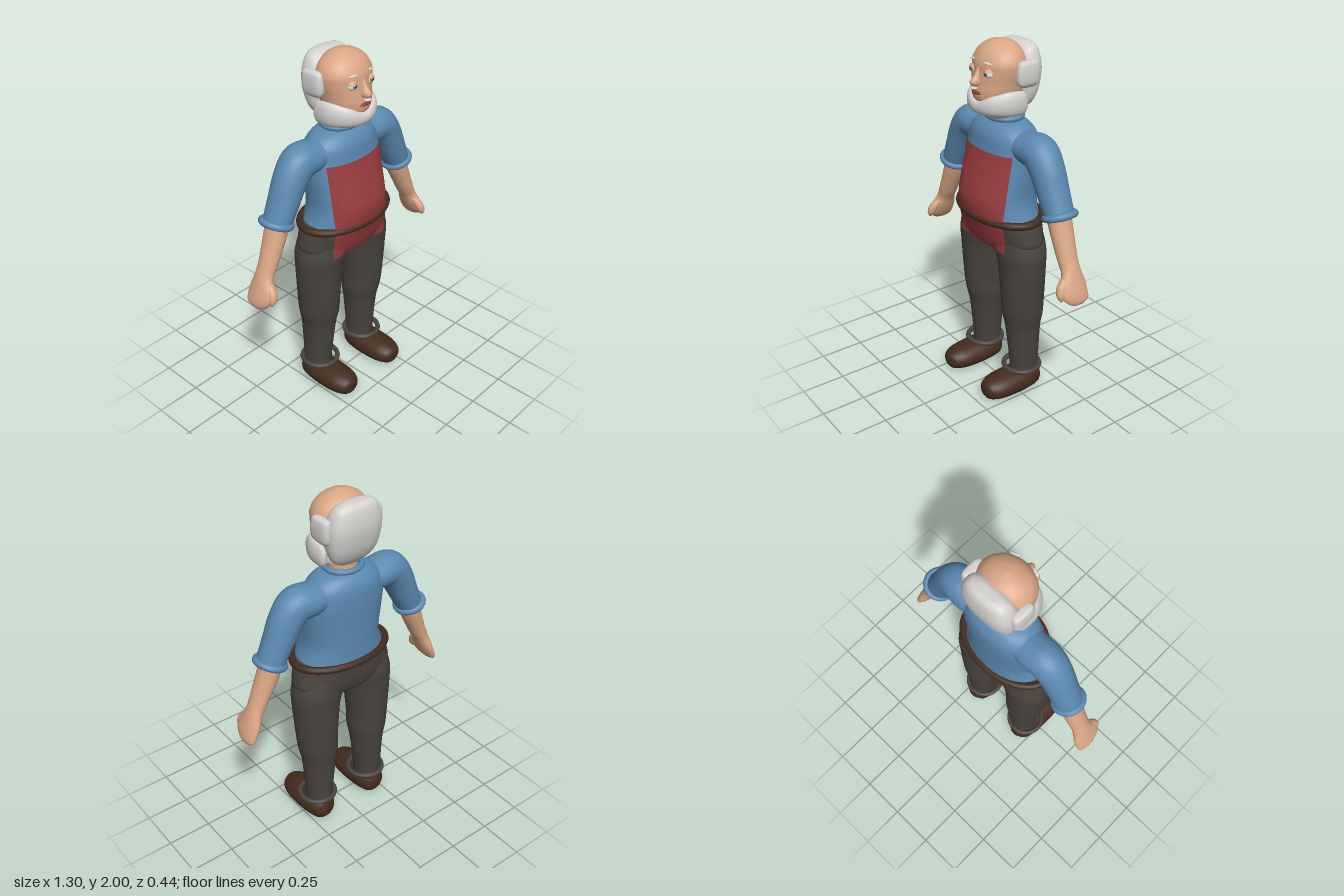
import * as THREE from 'three';

const mat = (name, color) => Object.assign(new THREE.MeshStandardMaterial({ color }), { name });

// Tube along a path in the xy plane; rows are [x, y, z, half width, half depth], smoothed between rows
function sweep(rows, { upright = false, power = 2, sides = 32, steps = 5 } = {}) {
  const rings = [];
  const at = i => rows[Math.min(rows.length - 1, Math.max(0, i))];
  for (let i = 0; i < rows.length - 1; i++) {
    for (let k = 0; k < steps + (i === rows.length - 2 ? 1 : 0); k++) {
      const t = k / steps;
      rings.push(rows[0].map((_, c) => {
        const [p, q, r, s] = [at(i - 1)[c], at(i)[c], at(i + 1)[c], at(i + 2)[c]];
        return q + 0.5 * t * (r - p + t * (2 * p - 5 * q + 4 * r - s + t * (3 * (q - r) + s - p)));
      }));
    }
  }
  const pos = [], index = [], last = rings.length - 1;
  const rise = Math.sign(rows[rows.length - 1][1] - rows[0][1]);
  const bend = v => Math.sign(v) * Math.abs(v) ** (2 / power);
  rings.forEach(([x, y, z, a, b], i) => {
    const p = rings[Math.max(0, i - 1)], q = rings[Math.min(last, i + 1)];
    const t = upright ? new THREE.Vector2(0, rise) : new THREE.Vector2(q[0] - p[0], q[1] - p[1]).normalize();
    for (let j = 0; j < sides; j++) {
      const ang = j / sides * Math.PI * 2, u = bend(Math.cos(ang)) * a;
      pos.push(x + t.y * u, y - t.x * u, z + bend(Math.sin(ang)) * b);
      if (i < last) {
        const n = i * sides, k = (j + 1) % sides;
        index.push(n + j, n + sides + j, n + k, n + sides + j, n + sides + k, n + k);
      }
    }
  });
  // End caps
  const c0 = pos.length / 3, n = last * sides;
  pos.push(...rings[0].slice(0, 3), ...rings[last].slice(0, 3));
  for (let j = 0; j < sides; j++) {
    const k = (j + 1) % sides;
    index.push(c0, j, k, c0 + 1, n + k, n + j);
  }
  const g = new THREE.BufferGeometry();
  g.setAttribute('position', new THREE.Float32BufferAttribute(pos, 3));
  g.setIndex(index);
  g.computeVertexNormals();
  return g;
}

// Stack of horizontal rings; rows are [y, half width, front z, back z, x]
const loft = (rows, opt) => sweep(
  rows.map(([y, w, f, b, x = 0]) => [x, y, (f + b) / 2, w, (f - b) / 2]), { upright: true, ...opt });

// Elliptical rolled band lying level
function band(rx, rz, tube) {
  const pts = Array.from({ length: 24 }, (_, i) => {
    const a = i / 24 * Math.PI * 2;
    return new THREE.Vector3(Math.cos(a) * rx, 0, Math.sin(a) * rz);
  });
  return new THREE.TubeGeometry(new THREE.CatmullRomCurve3(pts, true), 64, tube, 12, true);
}

const ball = (rx, ry, rz) => new THREE.SphereGeometry(1, 24, 16).scale(rx, ry, rz);

export function createModel() {
  const model = new THREE.Group();
  model.name = 'standingMan';
  const skin = mat('skin', 0xd9a684), hair = mat('greyHair', 0xd3d2cf), shirt = mat('blueShirt', 0x5a89b0);
  const red = mat('redApron', 0x983c3e), cloth = mat('darkTrousers', 0x48443e), leather = mat('brownLeather', 0x422c1d);
  const white = mat('eyeWhite', 0xe8e8e4), iris = mat('blueIris', 0x587a94), lip = mat('lips', 0x8c3a34);
  const add = (name, geo, material, x = 0, y = 0, z = 0) => {
    const m = new THREE.Mesh(geo, material);
    m.name = name;
    m.position.set(x, y, z);
    model.add(m);
    return m;
  };

  // Trunk
  const front = [];
  front.push(add('shirtBody', loft([
    [1.59, 0.09, 0.02, -0.12], [1.57, 0.16, 0.055, -0.155], [1.52, 0.215, 0.088, -0.183],
    [1.44, 0.238, 0.1, -0.19], [1.35, 0.235, 0.125, -0.19], [1.2, 0.225, 0.172, -0.19],
    [1.12, 0.24, 0.17, -0.19], [1.07, 0.26, 0.157, -0.19]], { power: 2.2, sides: 48 }), shirt));
  front.push(add('trouserHips', loft([
    [1.09, 0.27, 0.155, -0.19], [1.0, 0.294, 0.128, -0.187], [0.94, 0.295, 0.11, -0.18],
    [0.89, 0.2, 0.085, -0.16], [0.86, 0.08, 0.03, -0.11]], { power: 2.2, sides: 48 }), cloth));
  add('belt', band(0.284, 0.175, 0.02), leather, 0, 1.08, -0.02);
  add('collar', band(0.098, 0.088, 0.015), shirt, 0, 1.6, -0.05);

  // Limbs, mirrored by side
  for (const s of [1, -1]) {
    const side = s > 0 ? 'left' : 'right';
    const flip = rows => rows.map(([x, ...r]) => [s * x, ...r]);
    front.push(add(side + 'TrouserLeg', loft([
      [1.0, 0.13, 0.09, -0.16, 0.15], [0.9, 0.147, 0.095, -0.172, 0.163], [0.8, 0.135, 0.085, -0.167, 0.175],
      [0.6, 0.116, 0.075, -0.167, 0.177], [0.5, 0.111, 0.065, -0.165, 0.173], [0.4, 0.093, 0.045, -0.155, 0.172],
      [0.2, 0.078, 0.025, -0.145, 0.177], [0.12, 0.075, 0.022, -0.14, 0.177]]
      .map(r => [...r.slice(0, 4), s * r[4]])), cloth));
    add(side + 'TrouserCuff', band(0.1, 0.1, 0.014), cloth, s * 0.178, 0.155, -0.045);
    // Shoe built heel to toe, then laid forward
    add(side + 'Shoe', loft([
      [0.22, 0.02, -0.05, -0.095], [0.2, 0.06, -0.02, -0.118], [0.14, 0.088, -0.006, -0.136],
      [0.05, 0.095, 0, -0.145], [-0.05, 0.09, 0, -0.152], [-0.12, 0.07, -0.008, -0.145],
      [-0.152, 0.025, -0.045, -0.1]]).rotateX(Math.PI / 2), leather, s * 0.183);

    add(side + 'Sleeve', sweep(flip([
      [0.1, 1.48, -0.05, 0.07, 0.09], [0.22, 1.478, -0.055, 0.086, 0.1], [0.3, 1.472, -0.052, 0.095, 0.096],
      [0.36, 1.4, -0.05, 0.09, 0.09], [0.41, 1.3, -0.05, 0.08, 0.085], [0.462, 1.195, -0.05, 0.072, 0.078]])), shirt);
    add(side + 'SleeveCuff', band(0.073, 0.076, 0.019), shirt, s * 0.463, 1.197, -0.052).rotation.z = s * 0.35;
    add(side + 'ForearmAndHand', sweep(flip([
      [0.45, 1.22, -0.05, 0.06, 0.065], [0.475, 1.14, -0.05, 0.057, 0.064], [0.535, 1.0, -0.045, 0.046, 0.056],
      [0.57, 0.93, -0.045, 0.039, 0.056], [0.594, 0.87, -0.038, 0.036, 0.078], [0.615, 0.82, -0.038, 0.032, 0.08],
      [0.631, 0.785, -0.05, 0.022, 0.062], [0.638, 0.768, -0.05, 0.008, 0.03]])), skin);
    add(side + 'Thumb', sweep(flip([
      [0.575, 0.91, 0, 0.02, 0.02], [0.588, 0.87, 0.03, 0.024, 0.026], [0.6, 0.83, 0.042, 0.022, 0.022],
      [0.61, 0.802, 0.044, 0.007, 0.007]]), { sides: 16 }), skin);
  }

  // Apron sheet draped over the trunk front
  const ray = new THREE.Raycaster(), ahead = new THREE.Vector3(0, 0, -1);
  model.updateMatrixWorld(true);
  const sheet = new THREE.PlaneGeometry(0.4, 0.535, 24, 40).translate(0, 1.1725, 0);
  const p = sheet.attributes.position;
  for (let i = 0; i < p.count; i++) {
    ray.set(new THREE.Vector3(p.getX(i), p.getY(i), 1), ahead);
    const hit = ray.intersectObjects(front)[0];
    p.setZ(i, (hit ? hit.point.z : 0.05) + 0.005);
  }
  sheet.computeVertexNormals();
  add('apron', sheet, Object.assign(red, { side: THREE.DoubleSide }));

  // Head and neck
  add('head', loft([
    [2.0, 0.012, -0.01, -0.03], [1.985, 0.07, 0.035, -0.085], [1.95, 0.123, 0.08, -0.125],
    [1.9, 0.152, 0.108, -0.15], [1.85, 0.152, 0.115, -0.16], [1.8, 0.14, 0.122, -0.155],
    [1.75, 0.13, 0.128, -0.15], [1.7, 0.115, 0.118, -0.14], [1.65, 0.08, 0.06, -0.12],
    [1.58, 0.075, 0.03, -0.12]], { sides: 40 }), skin);
  add('nose', loft([
    [1.875, 0.01, 0.115, 0.08], [1.84, 0.014, 0.135, 0.09], [1.81, 0.023, 0.16, 0.09],
    [1.79, 0.021, 0.156, 0.09], [1.78, 0.008, 0.135, 0.1]], { sides: 20 }), skin);
  add('mouth', ball(0.036, 0.009, 0.014), lip, 0, 1.748, 0.126);
  add('moustache', ball(0.02, 0.006, 0.018), hair, 0, 1.774, 0.14);

  // Back hair and beard
  add('backHair', loft([
    [1.982, 0.06, -0.12, -0.165], [1.968, 0.105, -0.095, -0.188], [1.93, 0.135, -0.065, -0.204],
    [1.85, 0.155, -0.05, -0.212], [1.75, 0.148, -0.055, -0.195], [1.68, 0.122, -0.065, -0.165],
    [1.64, 0.07, -0.075, -0.13]], { power: 2.5, sides: 40 }), hair);
  add('chinBeard', loft([
    [1.695, 0.12, 0.105, -0.05], [1.675, 0.143, 0.128, -0.065], [1.645, 0.127, 0.108, -0.075],
    [1.61, 0.085, 0.065, -0.075], [1.585, 0.035, 0.03, -0.05]], { sides: 40 }), hair);
  add('jawBeard', sweep([
    [-0.13, 0.085, 1.69, 0.012, 0.03], [-0.14, 0.06, 1.695, 0.022, 0.06], [-0.137, -0.02, 1.7, 0.025, 0.063],
    [-0.085, -0.095, 1.69, 0.025, 0.05], [0, -0.115, 1.67, 0.024, 0.034], [0.085, -0.095, 1.69, 0.025, 0.05],
    [0.137, -0.02, 1.7, 0.025, 0.063], [0.14, 0.06, 1.695, 0.022, 0.06], [0.13, 0.085, 1.69, 0.012, 0.03]],
    { sides: 24, steps: 8 }).rotateX(-Math.PI / 2), hair);

  // Paired face details
  for (const s of [1, -1]) {
    const side = s > 0 ? 'left' : 'right';
    add(side + 'HairTuft', loft([
      [1.912, 0.012, -0.045, -0.12], [1.9, 0.026, -0.02, -0.14], [1.85, 0.031, -0.01, -0.145],
      [1.8, 0.026, -0.015, -0.14], [1.778, 0.01, -0.045, -0.12]]
      .map(r => [...r, s * 0.155]), { power: 3 }), hair);
    add(side + 'Eye', ball(0.026, 0.024, 0.024), white, s * 0.063, 1.852, 0.092);
    add(side + 'Iris', ball(0.014, 0.014, 0.006), iris, s * 0.062, 1.855, 0.113);
    add(side + 'Pupil', ball(0.006, 0.006, 0.003), leather, s * 0.062, 1.855, 0.118);
    const lid = new THREE.SphereGeometry(0.0285, 24, 8, 0, Math.PI * 2, 0, Math.PI * 0.4).rotateX(0.1);
    add(side + 'Eyelid', lid, Object.assign(skin, { side: THREE.DoubleSide }), s * 0.063, 1.852, 0.092);
    const brow = add(side + 'Eyebrow', ball(0.024, 0.006, 0.01), hair, s * 0.065, 1.904, 0.1);
    brow.rotation.set(0, s * 0.35, s * -0.12);
  }
  return model;
}
